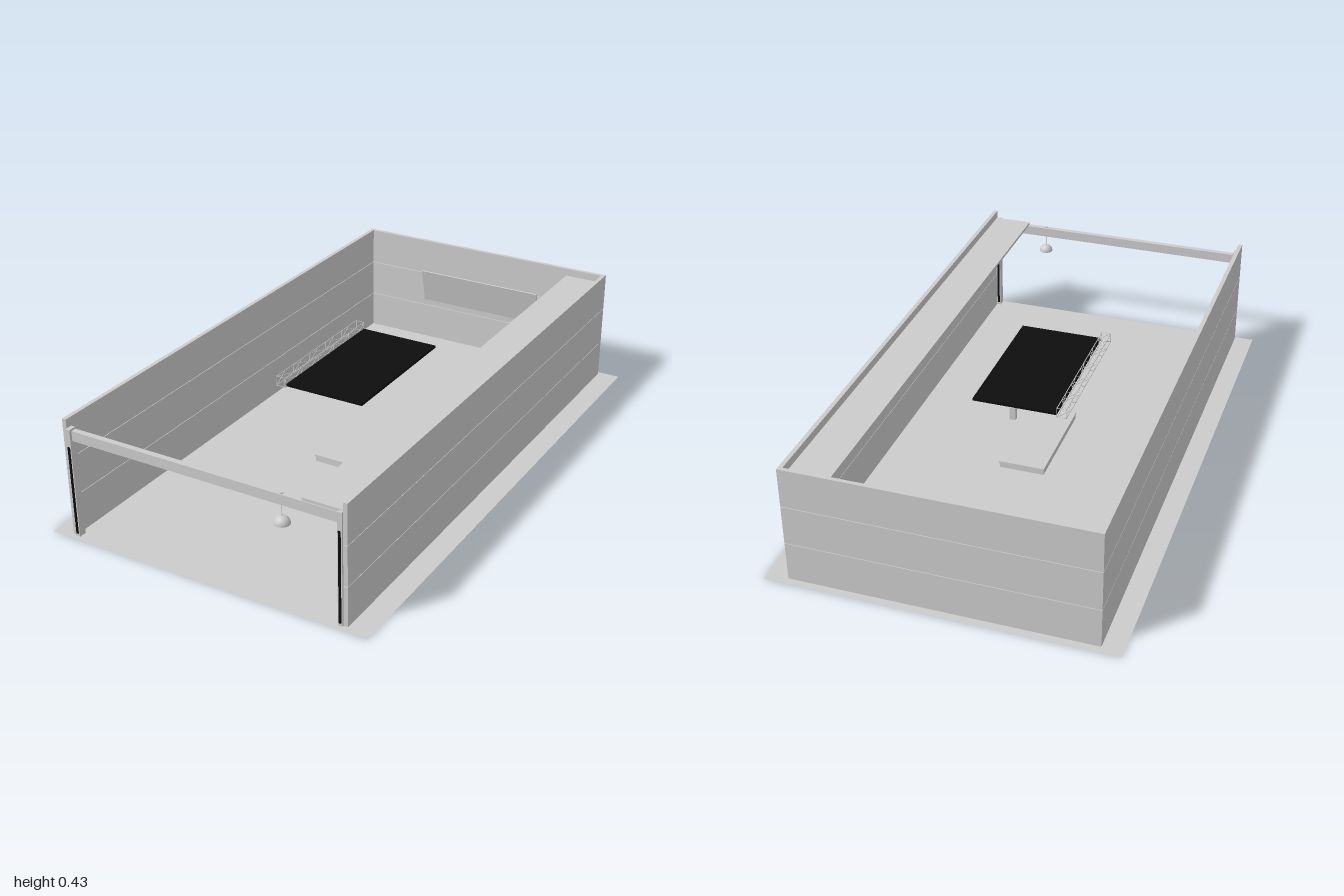
import * as THREE from 'three';

export function createModel() {
  const model = new THREE.Group();
  const grey = new THREE.MeshStandardMaterial({ color: 0xcccccc });
  const greyThin = new THREE.MeshStandardMaterial({ color: 0xcccccc, side: THREE.DoubleSide });
  const black = new THREE.MeshStandardMaterial({ color: 0x0d0d0d });

  const add = (name, geometry, material = grey, parent = model) => {
    const mesh = new THREE.Mesh(geometry, material);
    mesh.name = name;
    parent.add(mesh);
    return mesh;
  };
  // Box given by its extents on each axis
  const box = (name, [x0, x1], [y0, y1], [z0, z1], material = grey, parent = model) => {
    const mesh = add(name, new THREE.BoxGeometry(x1 - x0, y1 - y0, z1 - z0), material, parent);
    mesh.position.set((x0 + x1) / 2, (y0 + y1) / 2, (z0 + z1) / 2);
    return mesh;
  };
  // Thin rod between two points
  const rod = (name, a, b, radius, parent) => {
    const dir = b.clone().sub(a);
    const mesh = add(name, new THREE.CylinderGeometry(radius, radius, dir.length(), 6), grey, parent);
    mesh.position.copy(a).add(b).multiplyScalar(0.5);
    mesh.quaternion.setFromUnitVectors(new THREE.Vector3(0, 1, 0), dir.normalize());
    return mesh;
  };

  // Ground sheet
  add('floor', new THREE.PlaneGeometry(1.18, 2).rotateX(-Math.PI / 2), greyThin);

  // Walls, each of three stacked panels with fine seams
  const walls = new THREE.Group();
  walls.name = 'walls';
  model.add(walls);
  for (let i = 0; i < 3; i++) {
    const y = [0.004 + i * 0.141, 0.143 + i * 0.141];
    box('rightWallPanel', [-0.52, -0.505], y, [-0.964, 0.982], grey, walls);
    box('leftWallPanel', [0.498, 0.513], y, [-0.964, 0.982], grey, walls);
    box('backWallPanel', [-0.52, 0.513], y, [-0.978, -0.964], grey, walls);
  }

  // Open front: posts with dark strips, and a header beam
  for (const side of [-1, 1]) {
    const cx = -0.0035 + side * 0.4935;
    box('frontPost', [cx - 0.008, cx + 0.008], [0.004, 0.394], [0.96, 0.988]);
    box('postStrip', [cx - 0.004, cx + 0.004], [0.015, 0.332], [0.957, 0.991], black);
  }
  box('headerBeam', [-0.489, 0.482], [0.352, 0.387], [0.959, 0.979]);

  // Long shelf along the top of the left wall
  box('wallShelf', [0.357, 0.498], [0.387, 0.397], [-0.964, 0.976]);

  // Board on the back wall, its top leaning forward
  const board = add('tiltedBoard', new THREE.BoxGeometry(0.508, 0.138, 0.005));
  board.position.set(-0.002, 0.24, -0.943);
  board.rotation.x = Math.atan2(0.03, 0.135);

  // Hanging dark panel
  box('hangingPanel', [-0.152, 0.146], [0.319, 0.328], [-0.267, 0.264], black);

  // Square lattice truss beside the panel
  const truss = new THREE.Group();
  truss.name = 'truss';
  model.add(truss);
  const [x0, x1, y0, y1, z0, z1] = [-0.188, -0.155, 0.316, 0.35, -0.273, 0.268];
  const corners = [[x0, y0], [x1, y0], [x1, y1], [x0, y1]];
  const bays = 10;
  const step = (z1 - z0) / bays;
  corners.forEach((a, k) => {
    const b = corners[(k + 1) % 4];
    rod('trussChord', new THREE.Vector3(...a, z0), new THREE.Vector3(...a, z1), 0.0015, truss);
    for (const z of [z0, z1]) {
      rod('trussEnd', new THREE.Vector3(...a, z), new THREE.Vector3(...b, z), 0.001, truss);
    }
    for (let i = 0; i < bays; i++) {
      const [p, q] = i % 2 ? [a, b] : [b, a];
      rod('trussBrace', new THREE.Vector3(...p, z0 + i * step),
        new THREE.Vector3(...q, z0 + (i + 1) * step), 0.001, truss);
    }
  });

  // Low platform with a thin top, and a small box standing beside it
  box('platformBase', [-0.083, 0.079], [0.012, 0.033], [-0.193, 0.193]);
  box('platformTop', [-0.085, 0.081], [0.033, 0.038], [-0.196, 0.196]);
  box('smallUpright', [0.125, 0.147], [0.012, 0.063], [0.11, 0.13]);

  // Domed lamp on a cord under the header
  const lamp = new THREE.Group();
  lamp.name = 'hangingLamp';
  lamp.position.set(0.284, 0, 0.97);
  model.add(lamp);
  add('lampDome', new THREE.SphereGeometry(0.026, 24, 10, 0, Math.PI * 2, 0, Math.PI / 2),
    greyThin, lamp).position.y = 0.285;
  add('lampBase', new THREE.CircleGeometry(0.026, 24).rotateX(Math.PI / 2), grey, lamp).position.y = 0.285;
  add('lampCord', new THREE.CylinderGeometry(0.001, 0.001, 0.08, 6), grey, lamp).position.y = 0.348;
  add('lampCap', new THREE.CylinderGeometry(0.006, 0.006, 0.005, 12), grey, lamp).position.y = 0.3875;

  return model;
}
